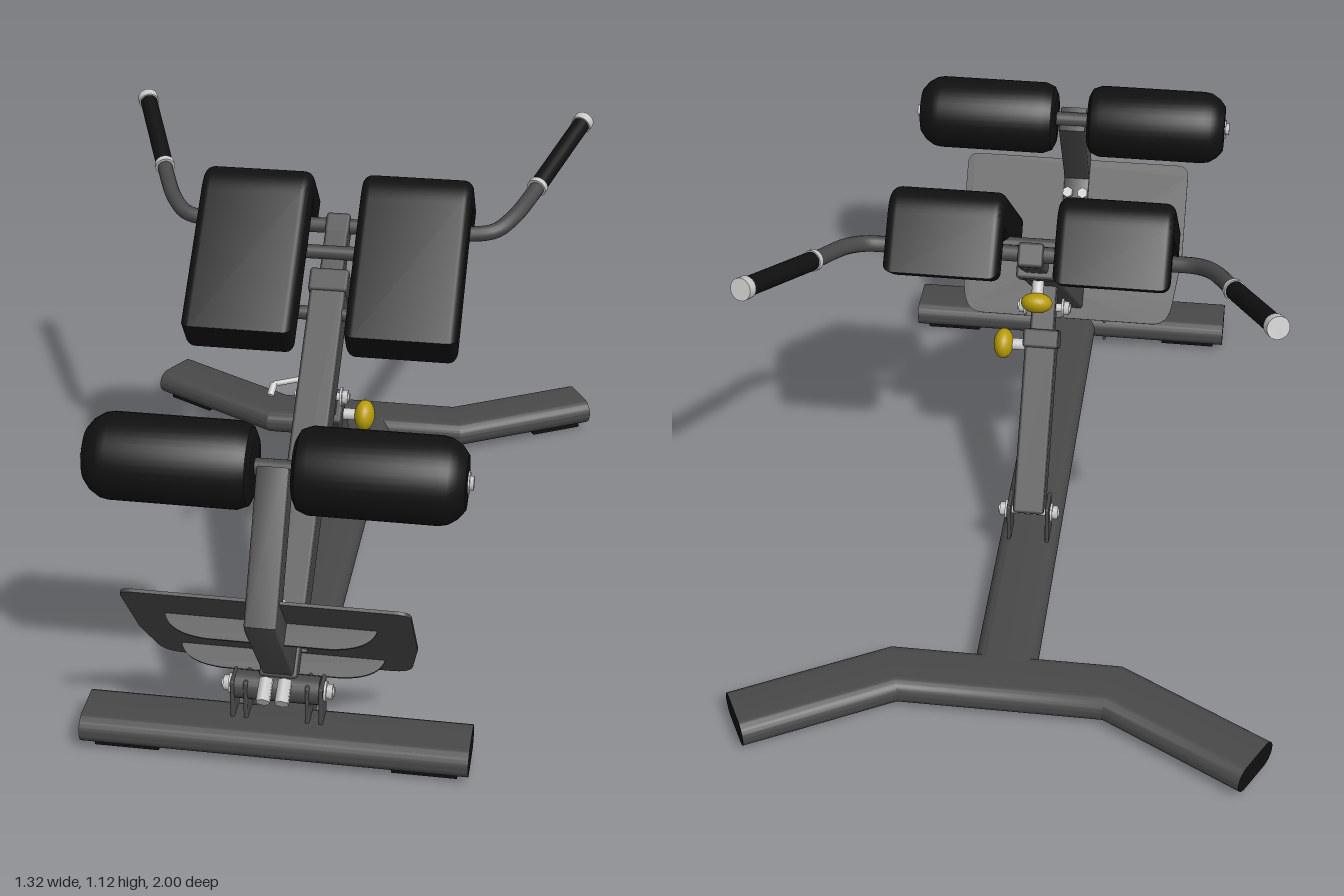
import * as THREE from 'three';
import { toCreasedNormals } from 'three/addons/utils/BufferGeometryUtils.js';
import { RoundedBoxGeometry } from 'three/addons/geometries/RoundedBoxGeometry.js';

const mat = (name, color, side = THREE.FrontSide) => {
  const m = new THREE.MeshStandardMaterial({ color, side });
  m.name = name;
  return m;
};
const V = (x, y, z) => new THREE.Vector3(x, y, z);

export function createModel() {
  const model = new THREE.Group();
  model.name = 'backExtensionBench';
  const frame = mat('graphite frame', 0x484848);
  const black = mat('black padding', 0x101010);
  const steel = mat('bright steel', 0xc8c8c8);
  const yellow = mat('yellow knob', 0xb89c08);

  const add = (name, geo, material, parent = model) => {
    const m = new THREE.Mesh(geo, material);
    m.name = name;
    parent.add(m);
    return m;
  };
  // Square tube between two points of the middle plane, given as [y, z]
  const bar = (name, a, b, w, h) => {
    const p = V(0, ...a), q = V(0, ...b);
    const m = add(name, new RoundedBoxGeometry(w, h, p.distanceTo(q), 2, 0.008), frame);
    m.position.copy(p).add(q).multiplyScalar(0.5);
    m.lookAt(q);
    return m;
  };
  const rod = (name, p, q, r, material, sides = 20, r2 = r) => {
    const m = add(name, new THREE.CylinderGeometry(r2, r, p.distanceTo(q), sides), material);
    m.position.copy(p).add(q).multiplyScalar(0.5);
    m.quaternion.setFromUnitVectors(V(0, 1, 0), q.clone().sub(p).normalize());
    return m;
  };
  // Bolt across the model with a hexagonal head on both ends
  const crossBolt = (name, y, z, half, r = 0.018) => {
    rod(name, V(-half, y, z), V(half, y, z), r * 0.6, steel);
    for (const s of [-1, 1]) {
      rod(name + 'Washer', V(s * (half - 0.024), y, z), V(s * (half - 0.018), y, z), r * 1.35, steel);
      rod(name + 'Head', V(s * (half - 0.018), y, z), V(s * (half - 0.004), y, z), r, steel, 6);
    }
  };
  // Side profile in (z, y), extruded across x
  const sideExtrude = (shape, width, bevel) => {
    const g = new THREE.ExtrudeGeometry(shape, {
      depth: width - 2 * bevel, bevelEnabled: bevel > 0, bevelSize: bevel,
      bevelThickness: bevel, bevelOffset: -bevel, bevelSegments: 5, curveSegments: 14,
    });
    g.translate(0, 0, -(width - 2 * bevel) / 2).rotateY(-Math.PI / 2);
    return toCreasedNormals(g, 0.6);
  };

  // Flat oval floor tubes, swept along (x, z) points with mitred bends
  const ovalTube = (name, pts) => {
    const r = 0.036, w = 0.0775 - r, n = pts.length - 1;
    const s = new THREE.Shape();
    s.absarc(w, 0, r, -Math.PI / 2, Math.PI / 2, false);
    s.absarc(-w, 0, r, Math.PI / 2, Math.PI * 1.5, false);
    const g = new THREE.ExtrudeGeometry(s, { depth: 1, steps: n, bevelEnabled: false, curveSegments: 12 });
    const P = pts.map((p) => new THREE.Vector2(...p));
    const dir = (i) => P[i + 1].clone().sub(P[i]).normalize();
    const sides = P.map((_, i) => {
      const a = dir(Math.max(i - 1, 0)), b = dir(Math.min(i, n - 1));
      const t = a.clone().add(b).normalize();
      return new THREE.Vector2(t.y, -t.x).divideScalar(t.dot(a));
    });
    const pos = g.attributes.position;
    for (let i = 0; i < pos.count; i++) {
      const k = Math.round(pos.getZ(i) * n), u = pos.getX(i);
      pos.setXYZ(i, P[k].x + sides[k].x * u, pos.getY(i) + 0.055, P[k].y + sides[k].y * u);
    }
    add(name, toCreasedNormals(g, 0.4), [black, frame]);
  };
  ovalTube('rearFloorTube', [[-0.625, -0.933], [-0.27, -0.738], [0.27, -0.738], [0.625, -0.933]]);
  ovalTube('frontFloorTube', [[-0.46, 0.815], [0.46, 0.815]]);
  ovalTube('spineTube', [[0, -0.7], [0, 0.8]]);

  // Rubber feet
  for (const s of [-1, 1]) {
    add('frontFoot', new THREE.BoxGeometry(0.155, 0.022, 0.08), black).position.set(s * 0.355, 0.011, 0.815);
    const f = add('rearFoot', new THREE.BoxGeometry(0.15, 0.022, 0.08), black);
    f.position.set(s * 0.545, 0.011, -0.889);
    f.rotation.y = s * 0.5;
  }

  // Main inclined beam with sliding inner post
  bar('mainBeam', [0.165, 0.765], [0.84, -0.04], 0.09, 0.092);
  bar('slidingPost', [0.75, 0.067], [0.935, -0.17], 0.06, 0.062);
  bar('beamCollar', [0.805, 0.002], [0.845, -0.046], 0.1, 0.102);

  // Rear support strut
  bar('supportStrut', [0.155, -0.217], [0.53, 0.065], 0.08, 0.085);
  bar('strutInnerTube', [0.5, 0.044], [0.665, 0.172], 0.062, 0.064);
  bar('strutCollar', [0.5, 0.044], [0.54, 0.073], 0.092, 0.096);

  // Floor brackets and pivots
  for (const s of [-1, 1]) {
    const plate = (name, x, y0, y1, z, d) =>
      add(name, new RoundedBoxGeometry(0.01, y1 - y0, d, 2, 0.004), frame).position.set(s * x, (y0 + y1) / 2, z);
    plate('strutBracketPlate', 0.05, 0.085, 0.2, -0.217, 0.075);
    plate('frontBracketPlate', 0.105, 0.015, 0.19, 0.783, 0.07);
    plate('innerBracketPlate', 0.073, 0.085, 0.19, 0.783, 0.07);
  }
  rod('pivotSleeve', V(-0.1, 0.163, 0.783), V(0.1, 0.163, 0.783), 0.034, frame);
  crossBolt('frontPivotBolt', 0.163, 0.783, 0.134);
  crossBolt('strutPivotBolt', 0.163, -0.217, 0.08);
  crossBolt('strutTopBolt', 0.585, 0.112, 0.07);

  // Roller arm with one bend
  const arm = new THREE.Shape([
    [0.752, 0.738], [0.815, 0.778], [1.0, 0.475], [0.985, 0.445], [0.75, 0.155], [0.69, 0.205], [0.915, 0.478],
  ].map((p) => new THREE.Vector2(...p)));
  add('rollerArm', sideExtrude(arm, 0.074, 0.006), frame);
  for (const [y, z] of [[0.445, 0.885], [0.3, 0.765], [0.3, 0.71]])
    for (const x of [-0.022, 0.022])
      rod('armBolt', V(x, y, z), V(x, y + 0.016, z - 0.02), 0.016, steel, 6);
  for (const x of [-0.022, 0.022])
    rod('lowerBolt', V(x, 0.205, 0.815), V(x, 0.175, 0.865), 0.018, steel, 6);

  // Foam rollers on an axle
  const rollerProfile = [[0, 0.045], [0.07, 0.045], [0.09, 0.055], [0.1, 0.08], [0.1, 0.37],
    [0.096, 0.39], [0.082, 0.412], [0.062, 0.428], [0, 0.43]].map((p) => new THREE.Vector2(...p));
  for (const s of [-1, 1]) {
    const r = add('foamRoller', toCreasedNormals(new THREE.LatheGeometry(rollerProfile, 40), 0.6), black);
    r.position.set(0, 0.757, 0.783);
    r.rotation.z = -s * Math.PI / 2;
    rod('axleWasher', V(s * 0.428, 0.757, 0.783), V(s * 0.433, 0.757, 0.783), 0.026, steel);
    rod('axleNut', V(s * 0.43, 0.757, 0.783), V(s * 0.442, 0.757, 0.783), 0.016, steel, 6);
  }
  rod('rollerAxle', V(-0.43, 0.757, 0.783), V(0.43, 0.757, 0.783), 0.02, frame);

  // Tilted foot plate with a slot and two curved toe ledges
  const foot = new THREE.Group();
  foot.name = 'footPlate';
  foot.position.set(0, 0.155, 0.655);
  foot.rotation.x = 0.6875;
  model.add(foot);
  const fp = new THREE.Shape();
  fp.moveTo(-0.25, 0).lineTo(0.25, 0).quadraticCurveTo(0.3, 0, 0.308, 0.06).lineTo(0.327, 0.2);
  fp.lineTo(0.327, 0.44).quadraticCurveTo(0.327, 0.472, 0.295, 0.472).lineTo(-0.295, 0.472);
  fp.quadraticCurveTo(-0.327, 0.472, -0.327, 0.44).lineTo(-0.327, 0.2).lineTo(-0.308, 0.06);
  fp.quadraticCurveTo(-0.3, 0, -0.25, 0);
  fp.holes.push(new THREE.Path([[-0.06, 0.1], [-0.06, 0.16], [0.06, 0.16], [0.06, 0.1]].map((p) => new THREE.Vector2(...p))));
  add('plate', new THREE.ExtrudeGeometry(fp, { depth: 0.008, bevelEnabled: false }), frame, foot);
  const ledge = new THREE.Shape();
  ledge.moveTo(-0.245, 0).lineTo(0.245, 0).quadraticCurveTo(0.235, 0.05, 0.14, 0.055);
  ledge.lineTo(-0.14, 0.055).quadraticCurveTo(-0.235, 0.05, -0.245, 0);
  for (const v of [0.09, 0.33]) {
    const g = new THREE.ExtrudeGeometry(ledge, { depth: 0.008, bevelEnabled: false });
    add('toeLedge', g.rotateX(Math.PI / 2), frame, foot).position.set(0, v, 0.004);
  }

  // Hip pads with a rolled upper edge, carried on cross bars
  const pad = new THREE.Shape();
  pad.moveTo(0.207, 0.802).lineTo(0.145, 0.718).lineTo(-0.16, 0.98).lineTo(-0.235, 0.9).lineTo(-0.297, 0.95);
  pad.lineTo(-0.2, 1.055).quadraticCurveTo(-0.145, 1.11, -0.08, 1.052).lineTo(0.207, 0.802);
  for (const s of [-1, 1]) {
    add('hipPad', sideExtrude(pad, 0.28, 0.024), black).position.x = s * 0.204;
    for (const [y, z] of [[0.76, 0.09], [0.87, -0.038]])
      for (const x of [0.13, 0.27])
        rod('padBolt', V(s * x, y, z), V(s * x, y - 0.02, z - 0.018), 0.015, steel, 6);
  }
  for (const [y, z] of [[0.79, 0.06], [0.9, -0.07]])
    rod('padCrossBar', V(-0.25, y, z), V(0.25, y, z), 0.018, frame);

  // Handlebar, grips and end caps
  const half = [[0.16, 0.935, -0.16], [0.34, 0.935, -0.16], [0.4, 0.942, -0.172], [0.44, 0.96, -0.215], [0.497, 1.0, -0.345], [0.59, 1.085, -0.58]];
  const path = [...half.map(([x, y, z]) => V(-x, y, z)).reverse(), ...half.map((p) => V(...p))];
  add('handlebar', new THREE.TubeGeometry(new THREE.CatmullRomCurve3(path), 120, 0.02, 14), frame);
  const hub = add('handlebarHub', new RoundedBoxGeometry(0.062, 0.06, 0.06, 2, 0.008), frame);
  hub.position.set(0, 0.93, -0.16);
  hub.rotation.x = 0.7;
  for (const s of [-1, 1]) {
    const a = V(s * 0.495, 1.0, -0.342), b = V(s * 0.597, 1.09, -0.6);
    const at = (t) => a.clone().lerp(b, t);
    rod('grip', a, b, 0.023, black);
    rod('gripRing', at(-0.02), at(0.03), 0.026, steel);
    rod('gripEndCap', at(0.94), at(1.02), 0.027, steel);
  }

  // Yellow pull knobs on short plungers
  const knob = (name, base, tip) => {
    rod(name + 'Plunger', base, tip, 0.015, steel);
    const d = tip.clone().sub(base).normalize();
    rod(name + 'Neck', tip.clone().addScaledVector(d, -0.022), tip, 0.02, yellow, 20, 0.034);
    const k = add(name, new THREE.SphereGeometry(0.04, 24, 16), yellow);
    k.position.copy(tip);
    k.scale.set(1, 0.65, 1);
    k.quaternion.setFromUnitVectors(V(0, 1, 0), d);
  };
  knob('strutKnob', V(0.035, 0.503, 0.05), V(0.1, 0.503, 0.05));
  knob('beamKnob', V(0, 0.79, 0.005), V(0, 0.715, -0.054));

  // Small locking pin beside the beam
  rod('lockPin', V(-0.04, 0.66, 0.17), V(-0.11, 0.65, 0.19), 0.007, steel);
  rod('lockPinHandle', V(-0.11, 0.65, 0.19), V(-0.115, 0.63, 0.215), 0.009, steel);
  return model;
}
